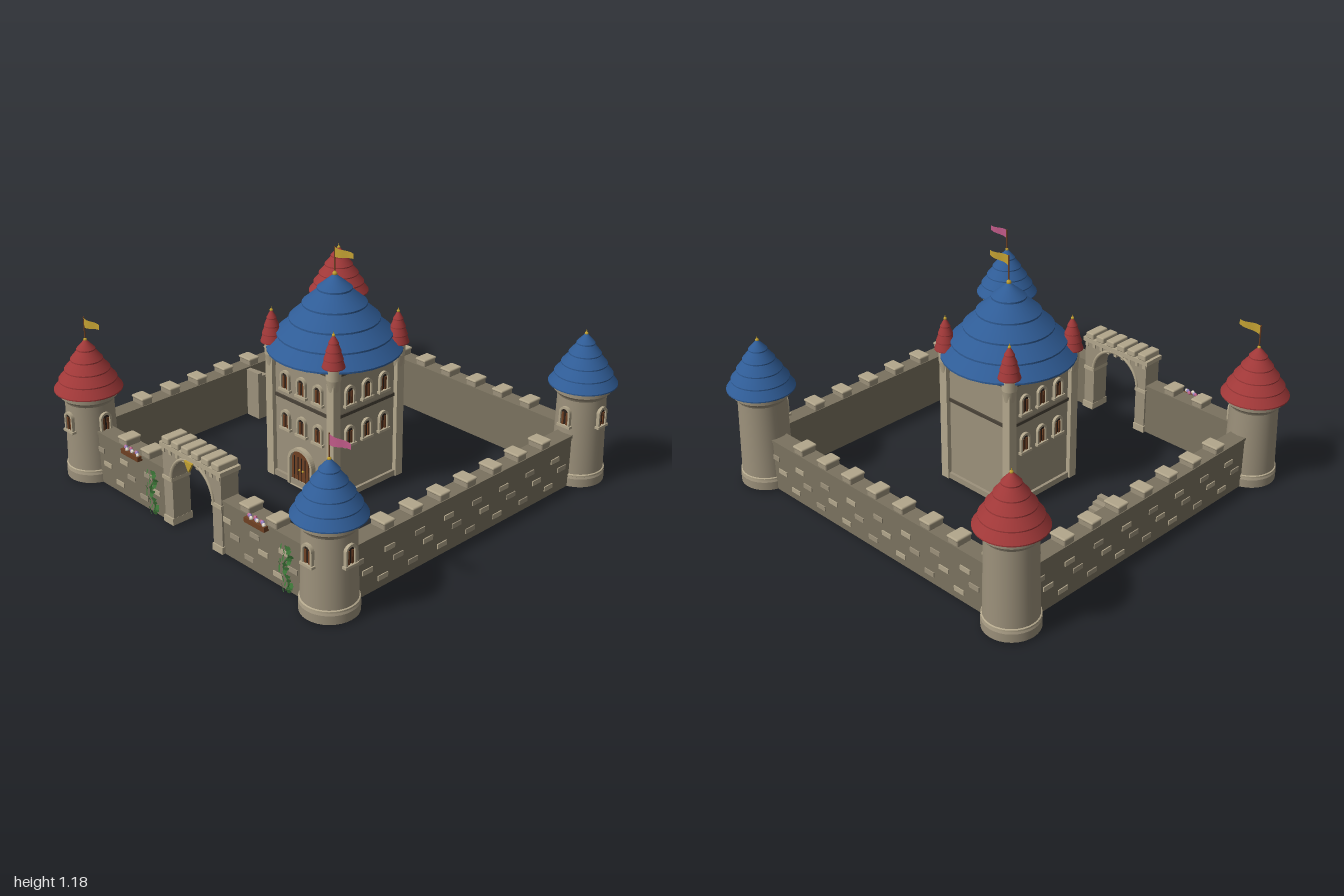
import * as THREE from 'three';
import { RoundedBoxGeometry } from 'three/addons/geometries/RoundedBoxGeometry.js';

const mat = (color, extra = {}) => new THREE.MeshStandardMaterial({ color, ...extra });
const M = {
  wall: mat(0x7a725f), stone: mat(0x9c917b), trim: mat(0xb3a78c), dark: mat(0x4a4338),
  blue: mat(0x2f5c96), red: mat(0xa03838), wood: mat(0x6e4023), gold: mat(0xc2a032),
  glass: mat(0x2c221c), leaf: mat(0x3f7a3a, { side: THREE.DoubleSide }), pink: mat(0xc46a92),
  lilac: mat(0x9a86c4), cream: mat(0xe6dccb),
  flagGold: mat(0xc2a032, { side: THREE.DoubleSide }), flagPink: mat(0xc05a88, { side: THREE.DoubleSide }),
};
const C = 0.835; // distance of walls and towers from the centre

function add(parent, name, geo, material, x = 0, y = 0, z = 0) {
  const m = new THREE.Mesh(geo, material);
  m.name = name;
  m.position.set(x, y, z);
  parent.add(m);
  return m;
}
function group(parent, name, x = 0, y = 0, z = 0, ry = 0) {
  const g = new THREE.Group();
  g.name = name;
  g.position.set(x, y, z);
  g.rotation.y = ry;
  parent.add(g);
  return g;
}
const box = (w, h, d) => new THREE.BoxGeometry(w, h, d);
const block = (w, h, d) => new RoundedBoxGeometry(w, h, d, 1, 0.007);
const extrude = (shape, depth) =>
  new THREE.ExtrudeGeometry(shape, { depth, bevelEnabled: false, curveSegments: 12 });

// Round-headed outline standing on y = 0
function arch(w, h, Type = THREE.Shape) {
  const r = w / 2, s = new Type();
  s.moveTo(-r, 0);
  s.lineTo(r, 0);
  s.lineTo(r, h - r);
  s.absarc(0, h - r, r, 0, Math.PI, false);
  s.lineTo(-r, 0);
  return s;
}

// Lathe whose segments keep hard edges between them
function lathe(parent, name, pts, material, y = 0, seg = 32) {
  const g = group(parent, name, 0, y, 0);
  for (let i = 0; i < pts.length - 1; i++) {
    const p = [pts[i], pts[i + 1]].map(([r, h]) => new THREE.Vector2(r, h));
    add(g, name, new THREE.LatheGeometry(p, seg), material);
  }
  return g;
}

// Roof of overlapping rings; radii listed from the eaves up
function tieredRoof(parent, radii, height, material, y) {
  const pts = [[0, 0]], step = height / radii.length;
  radii.forEach((r, i) => {
    const next = radii[i + 1] ?? 0.006;
    pts.push([r, i * step], [r, i * step + step * 0.12], [next * 0.93, (i + 1) * step]);
  });
  lathe(parent, 'roof', pts, material, y);
}

function finial(parent, y, size, flagMat, pole = 0.12) {
  add(parent, 'finialBall', new THREE.SphereGeometry(size, 12, 8), M.gold, 0, y + size * 0.5, 0);
  add(parent, 'finialTip', new THREE.ConeGeometry(size * 0.5, size * 2.4, 8), M.gold, 0, y + size * 2, 0);
  if (!flagMat) return;
  add(parent, 'flagPole', new THREE.CylinderGeometry(0.0035, 0.0035, pole, 8), M.wood, 0, y + pole / 2, 0);
  const flag = new THREE.PlaneGeometry(0.12, 0.05, 10, 2), p = flag.attributes.position;
  for (let i = 0; i < p.count; i++) {
    const t = p.getX(i) / 0.12 + 0.5;
    p.setXYZ(i, t * 0.12, p.getY(i) * (1 - 0.5 * t) + 0.008 * t, 0.007 * Math.sin(t * 6));
  }
  flag.computeVertexNormals();
  add(parent, 'flag', flag, flagMat, 0, y + pole - 0.028, 0);
}

// Arched window facing +z, sill at the group's origin
function windowUnit(parent, x, y, z, ry = 0, w = 0.062, h = 0.1) {
  const g = group(parent, 'window', x, y, z, ry);
  const frame = arch(w, h);
  frame.holes.push(arch(w - 0.02, h - 0.012, THREE.Path));
  add(g, 'windowFrame', extrude(frame, 0.02), M.trim, 0, 0, -0.008);
  add(g, 'windowPane', extrude(arch(w - 0.02, h - 0.012), 0.01), M.glass, 0, 0, -0.008);
  for (const s of [-1, 1]) add(g, 'shutter', box(0.011, h * 0.65, 0.006), M.wood, s * 0.012, h * 0.36, 0.004);
  add(g, 'windowSill', box(w + 0.014, 0.012, 0.03), M.trim, 0, 0, 0.002);
}

function tower(parent, sx, sz, roofMat, flagMat) {
  const g = group(parent, 'cornerTower', sx * C, 0, sz * C), H = sz < 0 ? 0.5 : 0.45;
  lathe(g, 'towerBody', [[0, 0], [0.132, 0], [0.132, 0.042], [0.125, 0.055], [0.117, H - 0.055],
    [0.122, H - 0.045], [0.138, H - 0.03], [0.138, H], [0, H]], M.stone);
  lathe(g, 'towerBand', [[0.124, 0.05], [0.131, 0.054], [0.131, 0.062], [0.122, 0.066]], M.trim);
  tieredRoof(g, [0.165, 0.14, 0.11, 0.078, 0.045], 0.25, roofMat, H);
  finial(g, H + 0.245, 0.009, flagMat);
  windowUnit(g, 0, H - 0.19, 0.119);
  windowUnit(g, 0.119, H - 0.19, 0, Math.PI / 2);
}

// Wall running along x from x0 to x1, outer face towards +z
function wall(g, x0, x1, merlons) {
  const mid = (x0 + x1) / 2, len = x1 - x0;
  add(g, 'wallBody', box(len, 0.26, 0.08), M.wall, mid, 0.13, 0);
  add(g, 'wallWalk', box(len, 0.014, 0.09), M.wall, mid, 0.262, 0);
  for (const x of merlons) {
    add(g, 'merlon', block(0.062, 0.036, 0.084), M.stone, x, 0.283, 0);
    add(g, 'merlonCap', block(0.07, 0.014, 0.092), M.trim, x, 0.301, 0);
  }
  [0.05, 0.115, 0.178].forEach((y, row) => {
    for (let i = -5; i <= 5; i++) {
      const x = i * 0.187 + (row === 1 ? 0.094 : row * 0.02);
      if (x < x0 + 0.03 || x > x1 - 0.03 || Math.abs(x) > 0.72) continue;
      add(g, 'facingStone', box(0.06, 0.024, 0.01), (i + row) % 2 ? M.trim : M.stone, x, y, 0.04);
    }
  });
}

function gatehouse(parent) {
  const g = group(parent, 'gatehouse', 0, 0, C);
  const s = new THREE.Shape(), r = 0.142, spring = 0.235;
  s.moveTo(-0.205, 0);
  s.lineTo(-r, 0);
  s.lineTo(-r, spring);
  s.absarc(0, spring, r, Math.PI, 0, true);
  s.lineTo(r, 0);
  s.lineTo(0.205, 0);
  s.lineTo(0.205, 0.39);
  s.lineTo(-0.205, 0.39);
  add(g, 'gateArch', extrude(s, 0.1), M.stone, 0, 0, -0.05);
  for (const z of [-0.05, 0.05])
    add(g, 'archMoulding', new THREE.TorusGeometry(r + 0.008, 0.008, 6, 28, Math.PI), M.trim, 0, spring, z);
  for (const sx of [-1, 1]) {
    add(g, 'pierBase', box(0.068, 0.035, 0.115), M.trim, sx * 0.175, 0.0175, 0);
    add(g, 'impost', box(0.068, 0.018, 0.112), M.trim, sx * 0.175, spring, 0);
  }
  add(g, 'gateCornice', box(0.43, 0.022, 0.118), M.trim, 0, 0.4, 0);
  for (let i = 0; i < 9; i++)
    add(g, 'corbel', box(0.018, 0.025, 0.112), M.trim, (i - 4) * 0.048, 0.378, 0);
  for (let i = 0; i < 6; i++)
    add(g, 'gateMerlon', block(0.052, 0.034, 0.116), M.trim, (i - 2.5) * 0.07, 0.426, 0);
  // Plain shield at the crown
  const sh = new THREE.Shape();
  sh.moveTo(-0.028, 0.02);
  sh.lineTo(0, -0.03);
  sh.lineTo(0.028, 0.02);
  add(g, 'keystoneShield', extrude(sh, 0.012), M.gold, 0, 0.366, 0.055);
}

function keep(parent) {
  const g = group(parent, 'keep');
  add(g, 'keepBody', box(0.42, 0.68, 0.42), M.stone, 0, 0.34, 0);
  for (const y of [0.437, 0.648]) add(g, 'stringCourse', box(0.436, 0.016, 0.436), M.dark, 0, y, 0);
  add(g, 'keepPlinth', box(0.45, 0.03, 0.45), M.stone, 0, 0.015, 0);
  // Corner piers carrying small turrets
  for (const sx of [-1, 1]) for (const sz of [-1, 1]) {
    add(g, 'cornerPier', box(0.046, 0.68, 0.046), M.trim, sx * 0.21, 0.34, sz * 0.21);
    const t = group(g, 'cornerTurret', sx * 0.21, 0, sz * 0.21);
    lathe(t, 'turretBody', [[0.024, 0.58], [0.036, 0.64], [0.036, 0.705]], M.trim, 0, 16);
    tieredRoof(t, [0.054, 0.046, 0.036, 0.024], 0.155, M.red, 0.7);
    finial(t, 0.853, 0.008);
  }
  // Windows on the front and both sides; the back is plain
  for (const ry of [0, Math.PI / 2, -Math.PI / 2]) {
    const f = group(g, 'keepFacade', 0, 0, 0, ry);
    for (const y of [0.275, 0.48]) for (const x of [-0.112, 0, 0.112]) windowUnit(f, x, y, 0.212);
  }
  // Double door
  const frame = arch(0.17, 0.21);
  frame.holes.push(arch(0.142, 0.195, THREE.Path));
  add(g, 'doorFrame', extrude(frame, 0.03), M.trim, 0, 0, 0.205);
  add(g, 'door', extrude(arch(0.142, 0.195), 0.014), M.wood, 0, 0, 0.205);
  for (let i = -2; i <= 2; i++)
    add(g, 'doorSeam', box(0.003, 0.15, 0.004), M.glass, i * 0.025, 0.08, 0.22);
  for (const s of [-1, 1]) add(g, 'doorKnob', new THREE.SphereGeometry(0.006, 8, 6), M.gold, s * 0.012, 0.09, 0.224);

  tieredRoof(g, [0.325, 0.277, 0.217, 0.155, 0.084], 0.365, M.blue, 0.675);
  finial(g, 1.035, 0.012, M.flagGold, 0.14);
}

// Planter hung on the top of the front wall
function planter(parent, x) {
  const g = group(parent, 'flowerBox', x, 0.256, C + 0.052);
  add(g, 'planterBox', box(0.13, 0.024, 0.032), M.wood);
  for (let i = 0; i < 9; i++)
    add(g, 'flower', new THREE.IcosahedronGeometry(0.01, 0), [M.pink, M.lilac, M.cream][i % 3],
      (i - 4) * 0.0135, 0.018 + 0.004 * (i % 2), 0.006 * ((i % 3) - 1));
}

function vine(parent, x) {
  const g = group(parent, 'vine', x, 0, C + 0.046);
  const pts = [0, 1, 2, 3, 4, 5].map(i => new THREE.Vector3(0.018 * Math.sin(i * 1.9), i * 0.044, 0));
  const curve = new THREE.CatmullRomCurve3(pts);
  add(g, 'vineStem', new THREE.TubeGeometry(curve, 24, 0.004, 5), M.leaf);
  for (let i = 0; i < 26; i++) {
    const p = curve.getPoint(i / 25), s = i % 2 ? 1 : -1;
    const leaf = add(g, 'leaf', new THREE.CircleGeometry(0.014, 5), M.leaf,
      p.x + s * (0.012 + 0.013 * Math.abs(Math.sin(i * 2.3))), p.y, 0.006);
    leaf.rotation.set(0.5 * Math.sin(i), 0.5 * s, i);
    leaf.scale.y = 0.75;
  }
}

export function createModel() {
  const root = new THREE.Group();
  root.name = 'castle';

  // Curtain walls
  const side = [-3, -2, -1, 0, 1, 2, 3].map(i => i * 0.175);
  const front = group(root, 'frontWall', 0, 0, C);
  wall(front, -0.8, -0.19, [-0.525, -0.35]);
  wall(front, 0.19, 0.8, [0.35, 0.525]);
  wall(group(root, 'backWall', 0, 0, -C, Math.PI), -0.8, 0.8, side);
  wall(group(root, 'leftWall', C, 0, 0, Math.PI / 2), -0.8, 0.8, side);
  wall(group(root, 'rightWall', -C, 0, 0, -Math.PI / 2), -0.8, 0.8, side);

  tower(root, -1, 1, M.red, M.flagGold);
  tower(root, 1, 1, M.blue, M.flagPink);
  tower(root, -1, -1, M.red);
  tower(root, 1, -1, M.blue);
  gatehouse(root);
  keep(root);

  // Stair up to the wall walk
  const stairs = group(root, 'stairs', -0.745, 0, 0), n = 15;
  for (let i = 0; i < n; i++) {
    const h = 0.26 * (i + 1) / n;
    add(stairs, 'step', box(0.09, h, 0.028), M.stone, 0, h / 2, -0.526 + i * 0.028);
  }

  planter(root, -0.44);
  planter(root, 0.44);
  vine(root, -0.305);
  vine(root, 0.615);
  return root;
}
